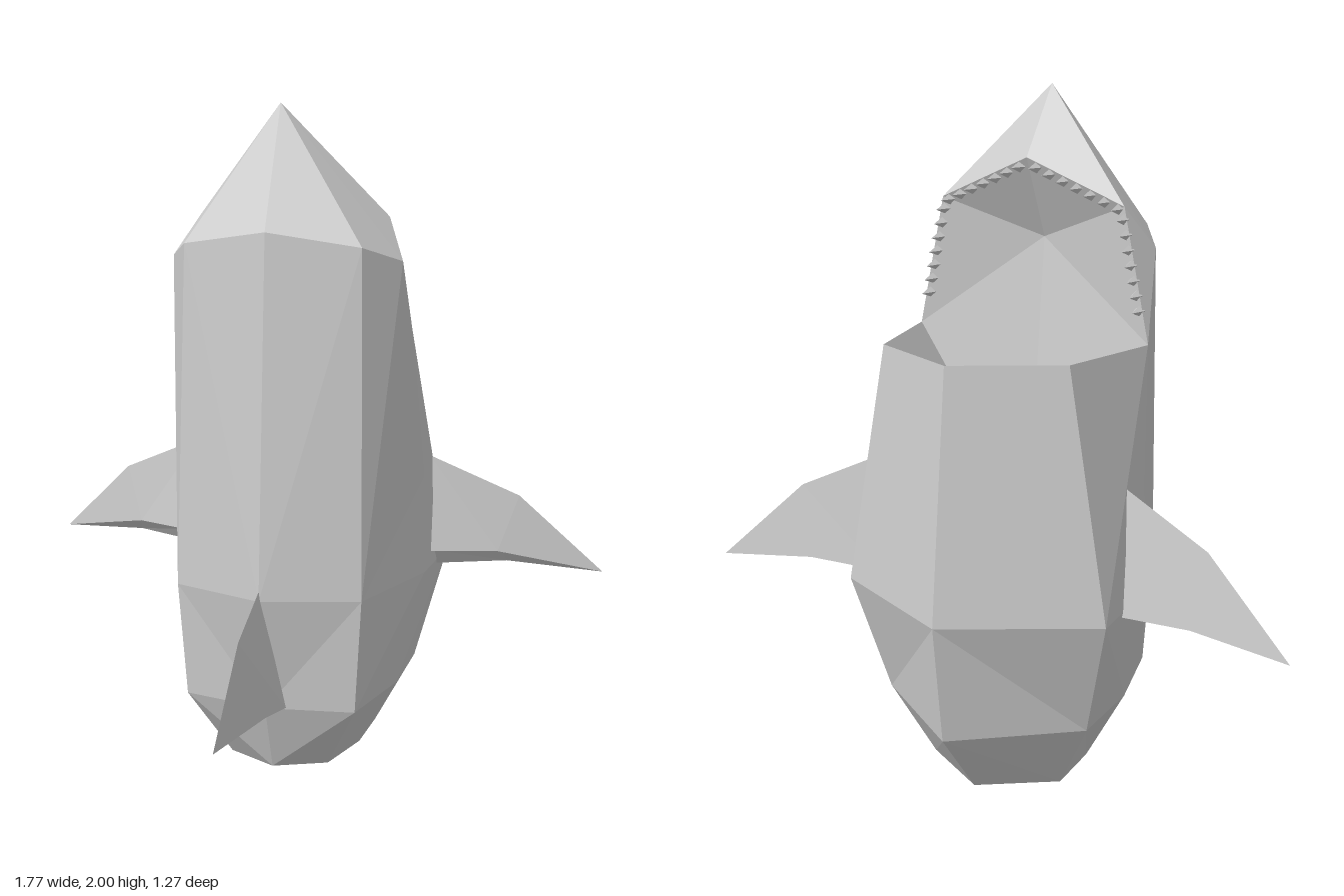
import * as THREE from 'three';

const material = new THREE.MeshStandardMaterial({
  color: 0xcccccc, flatShading: true, side: THREE.DoubleSide,
});

// Fan each polygon into triangles; optionally mirror everything across x = 0
function panelMesh(name, polygons, mirror = true) {
  const pos = [];
  const flip = ([x, y, z]) => [-x, y, z];
  for (const p of polygons) {
    for (let i = 1; i < p.length - 1; i++) {
      pos.push(...p[0], ...p[i], ...p[i + 1]);
      if (mirror) pos.push(...flip(p[0]), ...flip(p[i + 1]), ...flip(p[i]));
    }
  }
  const geo = new THREE.BufferGeometry();
  geo.setAttribute('position', new THREE.Float32BufferAttribute(pos, 3));
  geo.computeVertexNormals();
  const mesh = new THREE.Mesh(geo, material);
  mesh.name = name;
  return mesh;
}

// Half rings: front centre, front corner, side, back corner, back centre
const rings = [
  [[0, 0.09, 0.13], [0.15, 0.09, 0.06], [0.2, 0.09, -0.12], [0.205, 0.09, -0.3], [0, 0.09, -0.43]],
  [[0, 0.3, 0.2], [0.255, 0.3, 0.155], [0.315, 0.3, -0.11], [0.315, 0.3, -0.36], [0, 0.3, -0.595]],
  [[0, 0.64, 0.255], [0.275, 0.64, 0.17], [0.385, 0.64, -0.15], [0.4, 0.64, -0.425], [0, 0.64, -0.635]],
];
const bottom = [0, 0, -0.15];
const [, frontCorner, side, backCorner, backCentre] = rings[2];
const frontCentre = rings[2][0];

// Head and mouth key points
const apex = [0, 2, 0.045];
const browCentre = [0, 1.66, 0.19];
const browCorner = [0.255, 1.62, 0.13];
const cheek = [0.338, 1.575, 0];
const jawCorner = [0.28, 1.69, -0.08];
const jawTip = [0, 1.81, -0.105];
const mouthCorner = [0.357, 1.325, -0.085];
const crease = [0.38, 0.94, -0.148];
const lipCorner = [0.28, 1.325, -0.402];
const lipCentre = [0, 1.325, -0.552];
const throatFront = [0, 0.79, -0.1];
const throatBack = [0, 0.8, -0.515];
const palate = [0, 1.585, 0];

function bodyPanels() {
  const out = [];
  for (let i = 0; i < 4; i++) {
    out.push([bottom, rings[0][i + 1], rings[0][i]]);
    for (let r = 0; r < 2; r++) {
      out.push([rings[r][i], rings[r][i + 1], rings[r + 1][i + 1], rings[r + 1][i]]);
    }
  }
  out.push(
    [frontCentre, frontCorner, browCorner, browCentre],
    [frontCorner, side, crease, mouthCorner, cheek, browCorner],
    [backCorner, lipCorner, mouthCorner, crease, side],
    [backCorner, backCentre, lipCentre, lipCorner],
  );
  return out;
}

// Fin lofted from two dart sections [top, near edge, notch, far edge] to a tip
function finPanels(root, mid, tip) {
  const out = [];
  for (let i = 0; i < 4; i++) {
    const j = (i + 1) % 4;
    out.push([root[i], root[j], mid[j]], [root[i], mid[j], mid[i]], [mid[i], mid[j], tip]);
  }
  return out;
}

// Pyramid teeth spaced along a jaw edge, pointing backwards
function addTeeth(group, a, b, count, start, end) {
  const geo = new THREE.ConeGeometry(0.016, 0.05, 4).rotateX(-Math.PI / 2);
  for (let i = 0; i < count; i++) {
    const t = start + (end - start) * (i / (count - 1));
    const p = new THREE.Vector3(...a).lerp(new THREE.Vector3(...b), t);
    for (const s of [-1, 1]) {
      const tooth = new THREE.Mesh(geo, material);
      tooth.name = 'tooth';
      tooth.position.set(s * (p.x - 0.008), p.y - 0.012, p.z - 0.018);
      group.add(tooth);
    }
  }
}

export function createModel() {
  const model = new THREE.Group();
  model.name = 'shark';

  model.add(panelMesh('body', bodyPanels()));

  model.add(panelMesh('snout', [
    [browCentre, browCorner, apex],
    [browCorner, cheek, apex],
    [cheek, jawCorner, apex],
    [jawCorner, jawTip, apex],
    [cheek, mouthCorner, jawCorner],
  ]));

  model.add(panelMesh('mouthInterior', [
    [lipCorner, lipCentre, throatBack],
    [lipCorner, throatBack, throatFront, mouthCorner],
    [mouthCorner, throatFront, palate, jawCorner],
    [jawCorner, palate, jawTip],
  ]));

  // Upper teeth: across the front of the jaw, then down both sides
  const teeth = new THREE.Group();
  teeth.name = 'upperTeeth';
  addTeeth(teeth, jawTip, jawCorner, 7, 0.12, 0.96);
  addTeeth(teeth, jawCorner, mouthCorner, 7, 0.06, 0.72);
  model.add(teeth);

  // Side fins, one panel set mirrored to both sides
  model.add(panelMesh('sideFins', finPanels(
    [[0.37, 0.975, -0.257], [0.38, 0.685, -0.222], [0.37, 0.68, -0.262], [0.385, 0.625, -0.303]],
    [[0.635, 0.855, -0.317], [0.58, 0.685, -0.285], [0.59, 0.68, -0.305], [0.6, 0.642, -0.34]],
    [0.885, 0.62, -0.382],
  )));

  // Back fin, standing out on the centre line
  model.add(panelMesh('dorsalFin', finPanels(
    [[0, 0.67, 0.25], [-0.06, 0.305, 0.19], [0, 0.345, 0.2], [0.06, 0.305, 0.19]],
    [[0, 0.58, 0.43], [-0.042, 0.325, 0.32], [0, 0.35, 0.33], [0.042, 0.325, 0.32]],
    [0, 0.345, 0.635],
  ), false));

  return model;
}
